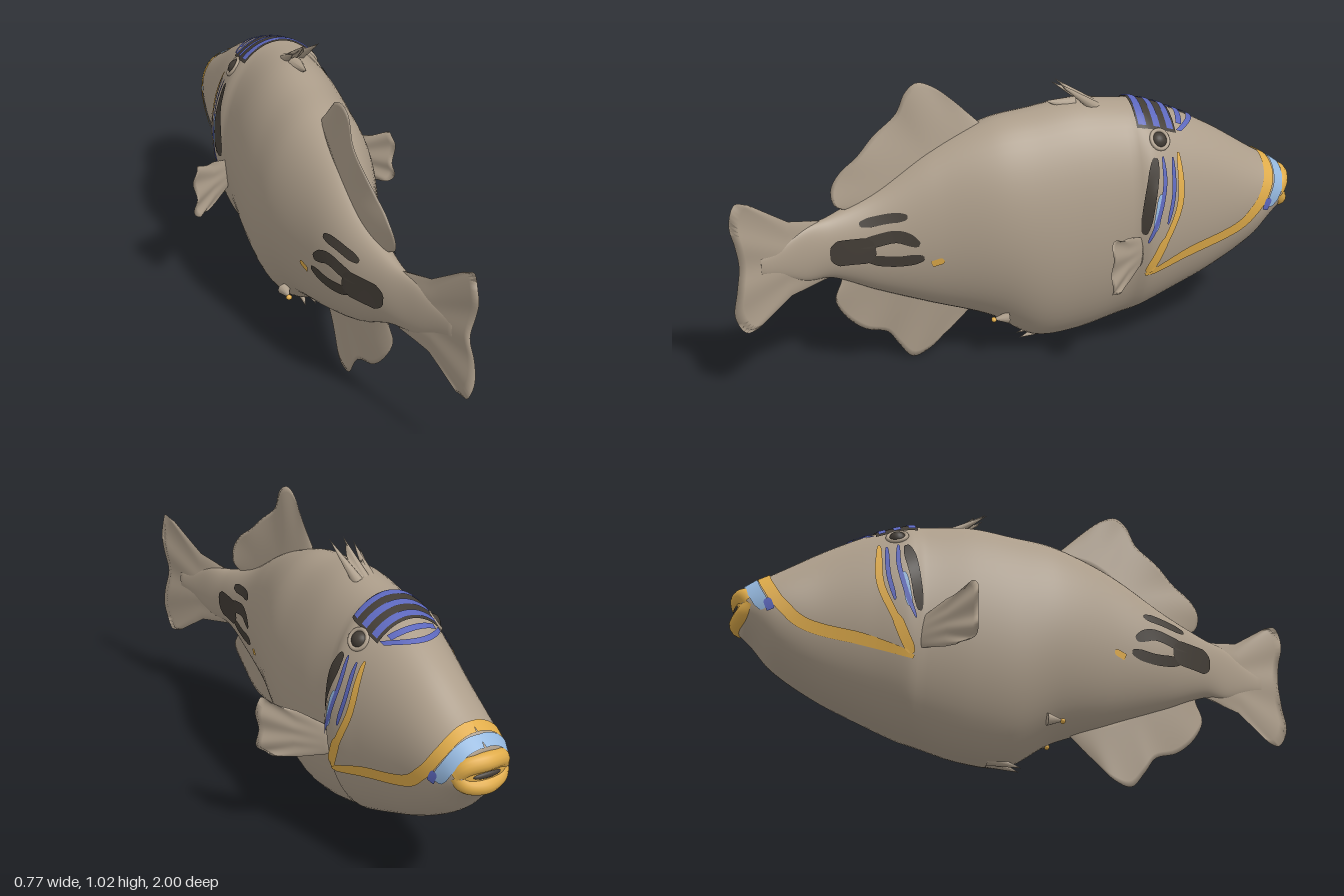
import * as THREE from 'three';

const mat = (name, color) => {
  const m = new THREE.MeshStandardMaterial({ color, side: THREE.DoubleSide });
  m.name = name;
  return m;
};

// Body stations: z, top y, bottom y, centre x, half width (the tail swings to +x)
const STATIONS = [
  [-0.965, 0.603, 0.455, -0.01, 0.085], [-0.92, 0.635, 0.415, -0.01, 0.113],
  [-0.85, 0.678, 0.335, -0.01, 0.137], [-0.7, 0.775, 0.24, -0.005, 0.165],
  [-0.55, 0.852, 0.172, -0.005, 0.2], [-0.42, 0.9, 0.12, -0.005, 0.23],
  [-0.37, 0.905, 0.103, -0.008, 0.213], [-0.2, 0.918, 0.055, -0.015, 0.218],
  [-0.05, 0.897, 0.052, -0.02, 0.216], [0.1, 0.87, 0.145, -0.025, 0.197],
  [0.3, 0.785, 0.215, -0.03, 0.14], [0.5, 0.66, 0.295, -0.022, 0.092],
  [0.65, 0.6, 0.372, 0.01, 0.05], [0.75, 0.58, 0.39, 0.048, 0.026],
  [0.85, 0.53, 0.44, 0.085, 0.01], [1, 0.5, 0.48, 0.135, 0.004],
];

// Smooth (cubic Hermite) value of station column k at z
function at(z, k) {
  const S = STATIONS, n = S.length;
  let i = 0;
  while (i < n - 2 && z > S[i + 1][0]) i++;
  const slope = (j) => {
    const a = S[Math.max(j - 1, 0)], b = S[Math.min(j + 1, n - 1)];
    return (b[k] - a[k]) / (b[0] - a[0]);
  };
  const h = S[i + 1][0] - S[i][0], t = THREE.MathUtils.clamp((z - S[i][0]) / h, 0, 1);
  const t2 = t * t, t3 = t2 * t;
  return (2 * t3 - 3 * t2 + 1) * S[i][k] + (t3 - 2 * t2 + t) * h * slope(i)
    + (3 * t2 - 2 * t3) * S[i + 1][k] + (t3 - t2) * h * slope(i + 1);
}

// Point on the skin: angle 0 is the back ridge, PI the keel
function skin(z, a) {
  const top = at(z, 1), bot = at(z, 2);
  return new THREE.Vector3(at(z, 3) + at(z, 4) * Math.sin(a), (top + bot) / 2 + (top - bot) / 2 * Math.cos(a), z);
}
const angleAt = (z, y) => {
  const top = at(z, 1), bot = at(z, 2);
  return Math.acos(THREE.MathUtils.clamp((2 * y - top - bot) / (top - bot), -1, 1));
};
function skinNormal(z, a) {
  const e = 0.004;
  const dz = skin(z + e, a).sub(skin(z - e, a)), da = skin(z, a + e).sub(skin(z, a - e));
  return dz.cross(da).normalize();
}

// Grid surface from fn(u, v), optionally closed around v
function grid(nu, nv, fn, closed = false) {
  const pos = [], idx = [], cols = closed ? nv : nv + 1;
  for (let i = 0; i <= nu; i++)
    for (let j = 0; j < cols; j++) pos.push(...fn(i / nu, j / nv).toArray());
  for (let i = 0; i < nu; i++)
    for (let j = 0; j < nv; j++) {
      const k = (j + 1) % cols, a = i * cols + j, b = i * cols + k;
      idx.push(a, a + cols, b, b, a + cols, b + cols);
    }
  const g = new THREE.BufferGeometry();
  g.setAttribute('position', new THREE.Float32BufferAttribute(pos, 3));
  g.setIndex(idx);
  g.computeVertexNormals();
  return g;
}

// Painted stripe through [z, y] points on one flank; y = 9 means the back ridge, where it stays wide
function stripe(points, half, side, lift = 0.004) {
  const curve = new THREE.CatmullRomCurve3(
    points.map(([z, y]) => new THREE.Vector3(z, side * angleAt(z, y), 0)));
  const toRidge = points.at(-1)[1] === 9;
  return grid(32, 4, (u, v) => {
    const p = curve.getPoint(u), d = curve.getTangent(u).multiplyScalar(0.005);
    const n = skinNormal(p.x, p.y);
    const along = skin(p.x + d.x, p.y + d.y).sub(skin(p.x - d.x, p.y - d.y)).normalize();
    const end = toRidge ? u : Math.min(u, 1 - u);
    const w = half * (0.3 + 0.7 * Math.sqrt(Math.min(1, 5 * end)));
    return skin(p.x, p.y).addScaledVector(n.clone().cross(along), (v * 2 - 1) * w).addScaledVector(n, lift);
  });
}

// Painted saddle over the forehead between z0 and z1
const saddle = (z0, z1, reach, lift, bow = 0) => grid(6, 28, (u, v) => {
  const s = v * 2 - 1, a = s * reach, z = z0 + (z1 - z0) * u + bow * s * s;
  return skin(z, a).addScaledVector(skinNormal(z, a), lift);
});

// Fin lofted through rows of [p, q] points; place(p, q, thickness) puts it in space
function fin(rows, thick, place) {
  const curves = rows.map((r) => new THREE.CatmullRomCurve3(
    r.map(([p, q]) => new THREE.Vector3(p, q, 0)), false, 'centripetal'));
  return grid(40, 24, (u, v) => {
    const t = v < 0.5 ? v * 2 : 2 - v * 2, f = t * (rows.length - 1);
    const i = Math.min(Math.floor(f), rows.length - 2);
    const p = curves[i].getPoint(u).lerp(curves[i + 1].getPoint(u), f - i);
    const ripple = 0.004 * t * t * Math.sin(u * 22);
    return place(p.x, p.y, ripple + (v < 0.5 ? 1 : -1) * thick * (1 - t) * Math.sqrt(Math.sin(Math.PI * u) + 0.02));
  }, true);
}

export function createModel() {
  const fish = new THREE.Group();
  fish.name = 'fish';
  const taupe = mat('taupe skin', 0xac9d8a), dark = mat('dark markings', 0x423c35);
  const blue = mat('blue stripes', 0x5c67bc), pale = mat('pale blue', 0x95b8de);
  const gold = mat('gold', 0xe0ac4a);
  const add = (name, geometry, material) => {
    const m = new THREE.Mesh(geometry, material);
    m.name = name;
    fish.add(m);
    return m;
  };
  const ball = (name, material, scale, position) => {
    const m = add(name, new THREE.SphereGeometry(1, 24, 16), material);
    m.scale.set(...scale);
    m.position.set(...position);
    return m;
  };

  // Body, closed at both ends by a last ring drawn to its centre
  add('body', grid(112, 56, (u, v) => {
    const z = -0.965 + 1.865 * THREE.MathUtils.clamp((u * 112 - 1) / 110, 0, 1);
    const p = skin(z, v * Math.PI * 2);
    if (u === 0 || u === 1) p.set(at(z, 3), (at(z, 1) + at(z, 2)) / 2, z);
    return p;
  }, true), taupe);

  // Thick lips on a golden muzzle, slightly parted
  ball('muzzle', gold, [0.088, 0.072, 0.03], [-0.01, 0.526, -0.952]);
  ball('mouth', dark, [0.05, 0.012, 0.012], [-0.01, 0.525, -0.976]);
  for (const [name, bulge, r] of [['upperLip', 0.041, 0.032], ['lowerLip', -0.041, 0.03]]) {
    const pts = [[-0.078, 0, -0.93], [-0.058, 0.75, -0.952], [0, 1, -0.968], [0.058, 0.75, -0.952], [0.078, 0, -0.93]]
      .map(([x, b, z]) => new THREE.Vector3(x - 0.01, 0.525 + bulge * b, z));
    add(name, new THREE.TubeGeometry(new THREE.CatmullRomCurve3(pts), 32, r, 14), gold);
  }

  // Back fin, belly fin and tail fin follow the bend of the body
  const upright = (lean, y0) => (z, y, t) => new THREE.Vector3(at(z, 3) + lean * (y - y0) + t, y, z);
  add('dorsalFin', fin([
    [[0.11, 0.85], [0.25, 0.78], [0.4, 0.69], [0.58, 0.59]],
    [[0.13, 0.868], [0.22, 0.955], [0.28, 1.0], [0.335, 1.018], [0.375, 0.99], [0.41, 0.915], [0.49, 0.85],
      [0.55, 0.79], [0.61, 0.745], [0.645, 0.69], [0.635, 0.635], [0.58, 0.605]],
  ], 0.026, upright(-0.06, 0.75)), taupe);
  add('analFin', fin([
    [[0.13, 0.2], [0.3, 0.25], [0.45, 0.31], [0.62, 0.38]],
    [[0.16, 0.17], [0.25, 0.08], [0.31, 0.02], [0.37, 0.003], [0.42, 0.06], [0.46, 0.115], [0.54, 0.145],
      [0.61, 0.21], [0.645, 0.29], [0.62, 0.35]],
  ], 0.022, upright(0.03, 0.25)), taupe);
  add('tailFin', fin([
    [[0.66, 0.585], [0.66, 0.48], [0.66, 0.375]],
    [[0.8, 0.62], [0.82, 0.48], [0.8, 0.35]],
    [[0.93, 0.715], [0.975, 0.73], [1, 0.66], [0.985, 0.58], [0.975, 0.5], [0.988, 0.42], [1, 0.33],
      [0.965, 0.262], [0.92, 0.265]],
  ], 0.016, upright(0, 0)), taupe);

  for (const side of [1, -1]) {
    const tag = side > 0 ? 'left' : 'right';
    const paint = (name, pts, half, m, lift) => add(tag + name, stripe(pts, half, side, lift), m);

    // Side fin sweeping out and back
    add(tag + 'PectoralFin', fin([
      [[0, 0.47], [0, 0.42], [0, 0.37]],
      [[0.45, 0.515], [0.5, 0.43], [0.45, 0.345]],
      [[0.75, 0.53], [0.93, 0.55], [1, 0.5], [0.97, 0.43], [1, 0.375], [0.85, 0.345], [0.65, 0.34]],
    ], 0.007, (s, y, t) => new THREE.Vector3(side * (0.195 + 0.185 * s + t), y, -0.39 + 0.17 * s - t)), taupe);

    // Eye in a low socket
    const a = side * angleAt(-0.463, 0.8), p = skin(-0.463, a), n = skinNormal(-0.463, a);
    const socket = add(tag + 'EyeSocket', new THREE.TorusGeometry(0.033, 0.007, 10, 24), taupe);
    socket.position.copy(p);
    socket.lookAt(p.clone().add(n));
    ball(tag + 'Eye', dark, [0.031, 0.031, 0.031], p.clone().addScaledVector(n, -0.014).toArray());

    // Face markings
    paint('CheekBand', [[-0.405, 0.33], [-0.58, 0.39], [-0.75, 0.435], [-0.83, 0.495], [-0.885, 0.58], [-0.897, 9]], 0.021, gold);
    paint('CheekLine', [[-0.415, 0.34], [-0.465, 0.45], [-0.52, 0.58], [-0.525, 0.75]], 0.013, gold, 0.005);
    paint('CheekCorner', [[-0.41, 0.34], [-0.44, 0.4], [-0.47, 0.47]], 0.018, gold, 0.0045);
    paint('SnoutBand', [[-0.893, 0.49], [-0.925, 0.555], [-0.942, 9]], 0.024, pale);
    paint('SnoutSpot', [[-0.87, 0.485], [-0.887, 0.525]], 0.014, blue, 0.006);
    paint('GillBar', [[-0.435, 0.75], [-0.41, 0.62], [-0.392, 0.49]], 0.02, dark);
    paint('GillPale', [[-0.447, 0.63], [-0.435, 0.56], [-0.425, 0.5]], 0.012, pale, 0.005);
    paint('GillLine', [[-0.462, 0.75], [-0.462, 0.66], [-0.437, 0.55], [-0.405, 0.46]], 0.008, blue, 0.006);
    paint('CheekBlueLine', [[-0.5, 0.74], [-0.495, 0.62], [-0.472, 0.52]], 0.008, blue, 0.006);

    // Markings before the tail
    paint('TailBlot', [[0.665, 0.48], [0.59, 0.482], [0.51, 0.485]], 0.047, dark);
    paint('TailUpperDash', [[0.56, 0.572], [0.48, 0.585], [0.4, 0.592]], 0.017, dark);
    paint('TailMiddleDash', [[0.57, 0.505], [0.46, 0.525], [0.365, 0.495]], 0.022, dark);
    paint('TailLowerDash', [[0.54, 0.45], [0.44, 0.435], [0.35, 0.445]], 0.02, dark);
    paint('FlankSpot', [[0.325, 0.42], [0.285, 0.435]], 0.012, gold);

    // Small knob low on the flank with a golden tip
    const knob = add(tag + 'Knob', new THREE.ConeGeometry(0.022, 0.06, 12), taupe);
    knob.position.set(side * 0.12 - 0.03, 0.174, 0.085);
    knob.rotation.x = Math.PI / 2;
    ball(tag + 'KnobTip', gold, [0.011, 0.009, 0.009], [side * 0.12 - 0.03, 0.172, 0.108]);
  }

  // Forehead saddle with blue stripes and two arcs before it
  add('foreheadPatch', saddle(-0.53, -0.39, 0.58, 0.004), dark);
  for (const z of [-0.508, -0.458, -0.408]) add('foreheadStripe', saddle(z - 0.012, z + 0.012, 0.54, 0.007), blue);
  add('foreheadArc', saddle(-0.575, -0.553, 0.42, 0.005, 0.015), blue);
  add('foreheadArc', saddle(-0.622, -0.602, 0.54, 0.005, 0.07), blue);

  // Swept, webbed spines on the back, a low stub behind, and the keel spines
  const spine = (name, from, to, r) => {
    const a = new THREE.Vector3(...from), d = new THREE.Vector3(...to).sub(a);
    const m = add(name, new THREE.ConeGeometry(r, d.length(), 10), taupe);
    m.position.copy(a).addScaledVector(d, 0.5);
    m.quaternion.setFromUnitVectors(new THREE.Vector3(0, 1, 0), d.normalize());
  };
  for (const [x, y] of [[-0.04, 0.98], [0, 1.005], [0.052, 1.005]])
    spine('backSpine', [x * 0.5 - 0.005, 0.895, -0.27], [x, y, -0.13], 0.02);
  add('backSpineWeb', fin([
    [[-0.035, 0.89], [0, 0.89], [0.03, 0.89]],
    [[-0.04, 0.965], [-0.02, 0.94], [0, 0.985], [0.025, 0.95], [0.05, 0.99]],
  ], 0.012, (x, y, t) => new THREE.Vector3(x, y - t, -0.28 + 1.35 * (y - 0.89) + t)), taupe);
  spine('backSpineStub', [-0.01, 0.9, -0.2], [-0.005, 0.925, -0.1], 0.03);
  for (const x of [-0.045, -0.005]) spine('keelSpine', [x * 0.5 - 0.01, 0.065, -0.12], [x, 0.035, -0.01], 0.024);

  return fish;
}
